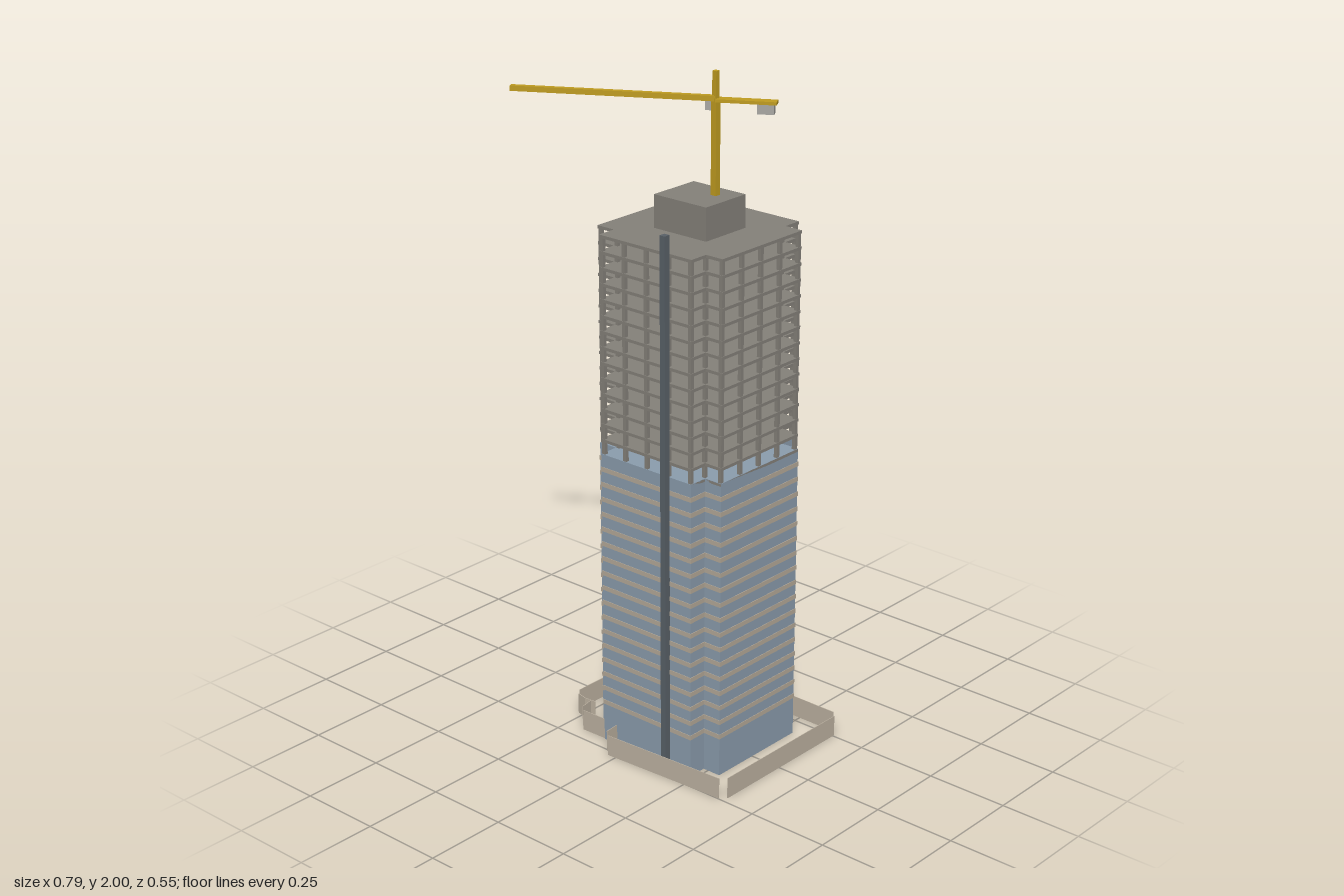
import * as THREE from 'three';

const mat = (name, color) => {
  const m = new THREE.MeshStandardMaterial({ color });
  m.name = name;
  return m;
};

export function createModel() {
  const glass = mat('blue glass', 0x8b9dae);
  const band = mat('beige spandrel', 0xb5aa99);
  const concrete = mat('concrete', 0x85817a);
  const steel = mat('dark steel', 0x596168);
  const yellow = mat('crane yellow', 0xc09c20);
  const fenceMat = mat('hoarding', 0xbdb2a1);
  const grey = mat('light grey', 0xa9a8a4);

  const model = new THREE.Group();
  model.name = 'towerUnderConstruction';

  const box = (parent, name, material, size, pos) => {
    const mesh = new THREE.Mesh(new THREE.BoxGeometry(...size), material);
    mesh.name = name;
    mesh.position.set(...pos);
    parent.add(mesh);
    return mesh;
  };

  // Cross-shaped floor plan: wide arms and deep arms, with notched corners
  const X = [-0.16, -0.1, 0.234, 0.292];
  const Z = [-0.245, -0.187, 0.148, 0.207];
  const plan = (grow) => {
    const [a, b, c, d] = [X[0] - grow, X[1] - grow, X[2] + grow, X[3] + grow];
    const [e, f, g, h] = [Z[0] - grow, Z[1] - grow, Z[2] + grow, Z[3] + grow];
    const pts = [[b, e], [c, e], [c, f], [d, f], [d, g], [c, g],
      [c, h], [b, h], [b, g], [a, g], [a, f], [b, f]];
    return new THREE.Shape(pts.map(([x, z]) => new THREE.Vector2(x, -z)));
  };
  const prism = (parent, name, material, y0, y1, grow = 0) => {
    const geo = new THREE.ExtrudeGeometry(plan(grow), { depth: y1 - y0, bevelEnabled: false });
    geo.rotateX(-Math.PI / 2);
    const mesh = new THREE.Mesh(geo, material);
    mesh.name = name;
    mesh.position.y = y0;
    parent.add(mesh);
  };

  // Finished lower storeys: glass body with spandrel bands
  const floorH = 0.0462, glassTop = 0.91, frameTop = 1.557;
  const lower = new THREE.Group();
  lower.name = 'glazedStoreys';
  prism(lower, 'glassBody', glass, 0, glassTop);
  for (let i = 1; i <= 17; i++) {
    const y = glassTop - i * floorH;
    prism(lower, 'spandrelBand', band, y - 0.007, y + 0.007, 0.0015);
  }
  model.add(lower);

  // Open upper storeys: slabs and perimeter columns
  const frame = new THREE.Group();
  frame.name = 'openFrame';
  for (let i = 0; i <= 14; i++) {
    const y = glassTop + i * floorH;
    prism(frame, 'floorSlab', concrete, y - 0.009, y);
  }
  const colH = frameTop - glassTop, colY = (frameTop + glassTop) / 2 - 0.002;
  const column = (x, z) => box(frame, 'column', concrete, [0.011, colH - 0.004, 0.011], [x, colY, z]);
  for (let i = 0; i < 5; i++) {
    const x = -0.093 + i * 0.08, z = -0.18 + i * 0.0803;
    for (const zz of [Z[0] + 0.007, Z[3] - 0.007]) column(x, zz);
    for (const xx of [X[0] + 0.007, X[3] - 0.007]) column(xx, z);
  }
  // Columns at the inner notches
  for (const x of [-0.093, 0.227]) for (const z of [-0.18, 0.141]) column(x, z);
  model.add(frame);

  // Concrete core rising above the top slab
  box(model, 'core', concrete, [0.188, 0.753, 0.165], [0.067, 1.2765, -0.019]);

  // Construction hoist mast on the front face
  box(model, 'hoistMast', steel, [0.018, 1.61, 0.019], [0.148, 0.805, 0.2175]);

  // Tower crane, jib turned diagonally
  const crane = new THREE.Group();
  crane.name = 'towerCrane';
  crane.position.set(0.103, 0, -0.042);
  box(crane, 'mast', yellow, [0.018, 0.28, 0.018], [0, 1.785, 0]);
  box(crane, 'mastHead', yellow, [0.014, 0.08, 0.014], [0, 1.96, 0]);
  const slew = new THREE.Group();
  slew.name = 'slewingArm';
  slew.rotation.y = Math.PI / 6;
  box(slew, 'jib', yellow, [0.57, 0.015, 0.016], [-0.285, 1.924, 0]);
  box(slew, 'counterJib', yellow, [0.168, 0.009, 0.029], [0.084, 1.92, 0]);
  box(slew, 'counterweight', grey, [0.046, 0.027, 0.026], [0.138, 1.902, 0]);
  box(slew, 'cab', grey, [0.02, 0.028, 0.017], [-0.021, 1.902, -0.013]);
  crane.add(slew);
  model.add(crane);

  // Site hoarding: thin straight panels around the base
  const fence = new THREE.Group();
  fence.name = 'siteHoarding';
  const panels = [
    [-0.268, -0.275, 0.376, -0.273],
    [-0.285, -0.255, -0.282, -0.19],
    [-0.282, -0.19, -0.283, 0.12],
    [0.393, -0.255, 0.393, 0.23],
    [-0.028, 0.271, 0.376, 0.247],
    [-0.051, 0.207, -0.047, 0.254],
    [-0.186, 0.206, -0.06, 0.202],
    [-0.268, 0.14, -0.235, 0.147],
    [-0.235, 0.147, -0.197, 0.144],
    [-0.211, 0.148, -0.204, 0.19],
  ];
  for (const [x0, z0, x1, z1] of panels) {
    const len = Math.hypot(x1 - x0, z1 - z0);
    const p = box(fence, 'hoardingPanel', fenceMat, [len, 0.064, 0.002], [(x0 + x1) / 2, 0.032, (z0 + z1) / 2]);
    p.rotation.y = -Math.atan2(z1 - z0, x1 - x0);
  }
  model.add(fence);

  return model;
}
